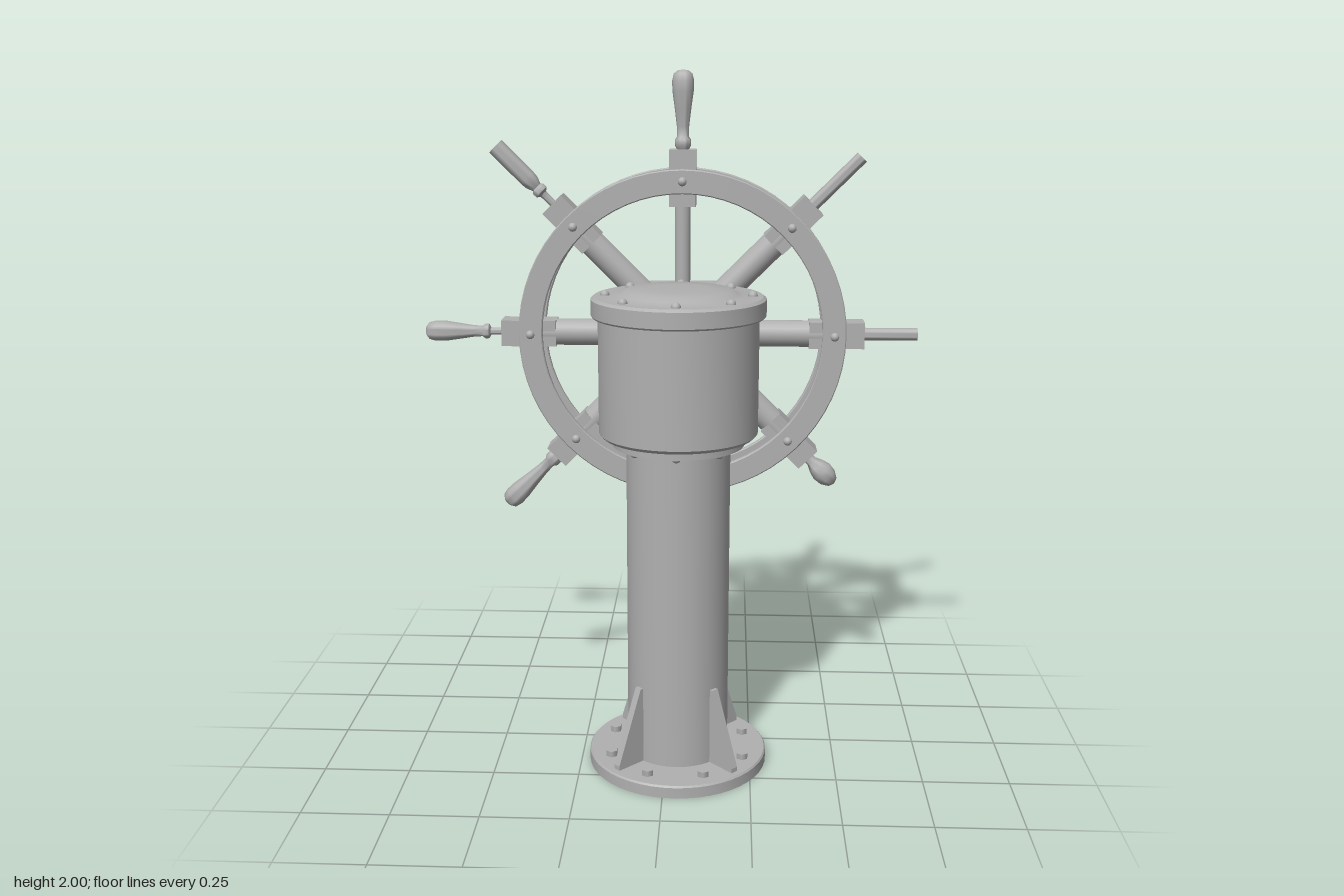
import * as THREE from 'three';
import { toCreasedNormals } from 'three/addons/utils/BufferGeometryUtils.js';

export function createModel() {
  const grey = new THREE.MeshStandardMaterial({ color: 0xb0b0b0 });
  grey.name = 'castMetal';
  const model = new THREE.Group();
  model.name = 'helm';

  const add = (parent, name, geo, x = 0, y = 0, z = 0) => {
    const m = new THREE.Mesh(geo, grey);
    m.name = name;
    m.position.set(x, y, z);
    parent.add(m);
    return m;
  };
  const lathe = (pts, seg = 48, crease = 0.6) => toCreasedNormals(
    new THREE.LatheGeometry(pts.map(([r, y]) => new THREE.Vector2(r, y)), seg), crease);
  const cyl = (r, h, seg = 24) => new THREE.CylinderGeometry(r, r, h, seg);
  const box = (w, h, d) => new THREE.BoxGeometry(w, h, d);
  const group = (parent, name, x, y, z) => {
    const g = new THREE.Group();
    g.name = name;
    g.position.set(x, y, z);
    parent.add(g);
    return g;
  };

  // Pedestal: hollow column on a flange
  const pedestal = group(model, 'pedestal', 0.035, 0, 0.115);
  add(pedestal, 'column', lathe([[0.135, 0], [0.262, 0], [0.262, 0.032], [0.258, 0.037],
    [0.148, 0.037], [0.148, 0.98], [0.135, 0.98], [0.135, 0]]));
  add(pedestal, 'head', lathe([[0, 0.972], [0.187, 0.972], [0.187, 0.998], [0.215, 0.998],
    [0.225, 1.008], [0.225, 1.345], [0, 1.345]]));
  add(pedestal, 'lid', lathe([[0, 1.338], [0.24, 1.338], [0.244, 1.343], [0.244, 1.388],
    [0.235, 1.395], [0.18, 1.395], [0.165, 1.401], [0.145, 1.412], [0.08, 1.415], [0, 1.416]]));

  // Triangular ribs and bolts
  const ribShape = new THREE.Shape([[0.14, 0.03], [0.24, 0.03], [0.24, 0.05], [0.157, 0.265], [0.14, 0.265]]
    .map(p => new THREE.Vector2(...p)));
  const ribGeo = new THREE.ExtrudeGeometry(ribShape, { depth: 0.022, bevelEnabled: false });
  ribGeo.translate(0, 0, -0.011);
  const flangeBolt = cyl(0.018, 0.018, 6), rivet = new THREE.SphereGeometry(0.0135, 12, 8);
  for (let i = 0; i < 8; i++) {
    const a = i * Math.PI / 4, b = a + Math.PI / 8;
    if (i % 2) add(pedestal, 'rib', ribGeo).rotation.y = a;
    add(pedestal, 'flangeBolt', flangeBolt, 0.208 * Math.cos(b), 0.045, 0.208 * Math.sin(b));
    add(pedestal, 'lidRivet', rivet, 0.205 * Math.cos(a), 1.396, 0.205 * Math.sin(a));
    add(pedestal, 'headRivet', rivet, 0.165 * Math.cos(a), 0.973, 0.165 * Math.sin(a));
  }

  // Wheel: two flat rings with spokes between them
  const wheel = group(model, 'wheel', 0.035, 1.23, -0.212);
  const ringGeo = lathe([[0.422, -0.009], [0.487, -0.009], [0.49, -0.006], [0.49, 0.006],
    [0.487, 0.009], [0.422, 0.009], [0.419, 0.006], [0.419, -0.006], [0.422, -0.009]], 64);
  for (const s of [1, -1]) {
    add(wheel, 'rimRing', ringGeo, 0, 0, s * 0.048).rotation.x = Math.PI / 2;
    for (let i = 0; i < 8; i++) {
      const a = i * Math.PI / 4;
      add(wheel, 'rimRivet', rivet, 0.455 * Math.cos(a), 0.455 * Math.sin(a), s * 0.055);
    }
  }

  // Grip profiles, measured outward from the hub
  const stem = [[0, 0.54], [0.011, 0.54], [0.011, 0.57]];
  const fullGrip = [[0, 0.545], [0.018, 0.545], [0.024, 0.557], [0.024, 0.572], [0.017, 0.582], [0.018, 0.61],
    [0.024, 0.66], [0.031, 0.71], [0.032, 0.74], [0.027, 0.76], [0.015, 0.769], [0, 0.771]];
  const sideGrip = [...stem, [0.011, 0.582], [0.022, 0.587], [0.023, 0.598], [0.016, 0.608], [0.018, 0.635],
    [0.025, 0.68], [0.031, 0.72], [0.031, 0.75], [0.026, 0.77], [0.014, 0.779], [0, 0.781]];
  const cutGrip = [...stem, [0.012, 0.585], [0.022, 0.592], [0.022, 0.605], [0.016, 0.612], [0.024, 0.632],
    [0.026, 0.65], [0.026, 0.78], [0, 0.78]];
  const shortGrip = [[0, 0.54], [0.017, 0.54], [0.017, 0.565], [0.027, 0.585], [0.034, 0.61],
    [0.031, 0.635], [0.018, 0.657], [0, 0.665]];
  const peg = end => [[0, 0.54], [0.019, 0.54], [0.019, end], [0, end]];
  // Clockwise from the top
  const grips = [fullGrip, peg(0.74), peg(0.705), shortGrip, fullGrip, fullGrip, sideGrip, cutGrip];

  grips.forEach((grip, i) => {
    const spoke = group(wheel, 'spoke', 0, 0, 0);
    spoke.rotation.z = -i * Math.PI / 4;
    add(spoke, 'spokeBar', cyl(i % 4 ? 0.04 : 0.023, 0.42), 0, 0.21, 0);
    add(spoke, 'spokeSocket', box(0.078, 0.165, 0.078), 0, 0.4625, 0);
    add(spoke, 'grip', lathe(grip, 20, 0.9));
  });

  // Hub, axle and backing disc
  for (const [name, r, h, z] of [['axle', 0.046, 0.2, 0.12], ['hub', 0.1, 0.12, -0.012],
    ['frontDisc', 0.125, 0.014, 0.046], ['backDisc', 0.13, 0.014, -0.078]]) {
    add(wheel, name, cyl(r, h, 40), 0, 0, z).rotation.x = Math.PI / 2;
  }

  // Control panel on the back
  const panel = group(wheel, 'controlPanel', 0, 0, -0.112);
  add(panel, 'panelBox', box(0.212, 0.275, 0.058));
  for (const s of [1, -1]) {
    add(panel, 'knobCollar', cyl(0.03, 0.008), s * 0.044, 0.07, -0.031).rotation.x = Math.PI / 2;
    add(panel, 'knob', new THREE.SphereGeometry(0.025, 20, 12), s * 0.044, 0.07, -0.031);
  }
  add(panel, 'keypadPlate', box(0.078, 0.108, 0.006), -0.05, -0.06, -0.03);
  for (let r = 0; r < 4; r++) for (let c = 0; c < 3; c++) {
    add(panel, 'key', box(0.017, 0.017, 0.009), -0.05 + (c - 1) * 0.024, -0.06 + (r - 1.5) * 0.025, -0.034);
  }
  for (let r = 0; r < 6; r++) {
    add(panel, 'grilleSlat', box(0.07, 0.007, 0.008), 0.05, -0.06 + (r - 2.5) * 0.014, -0.031);
  }

  return model;
}
